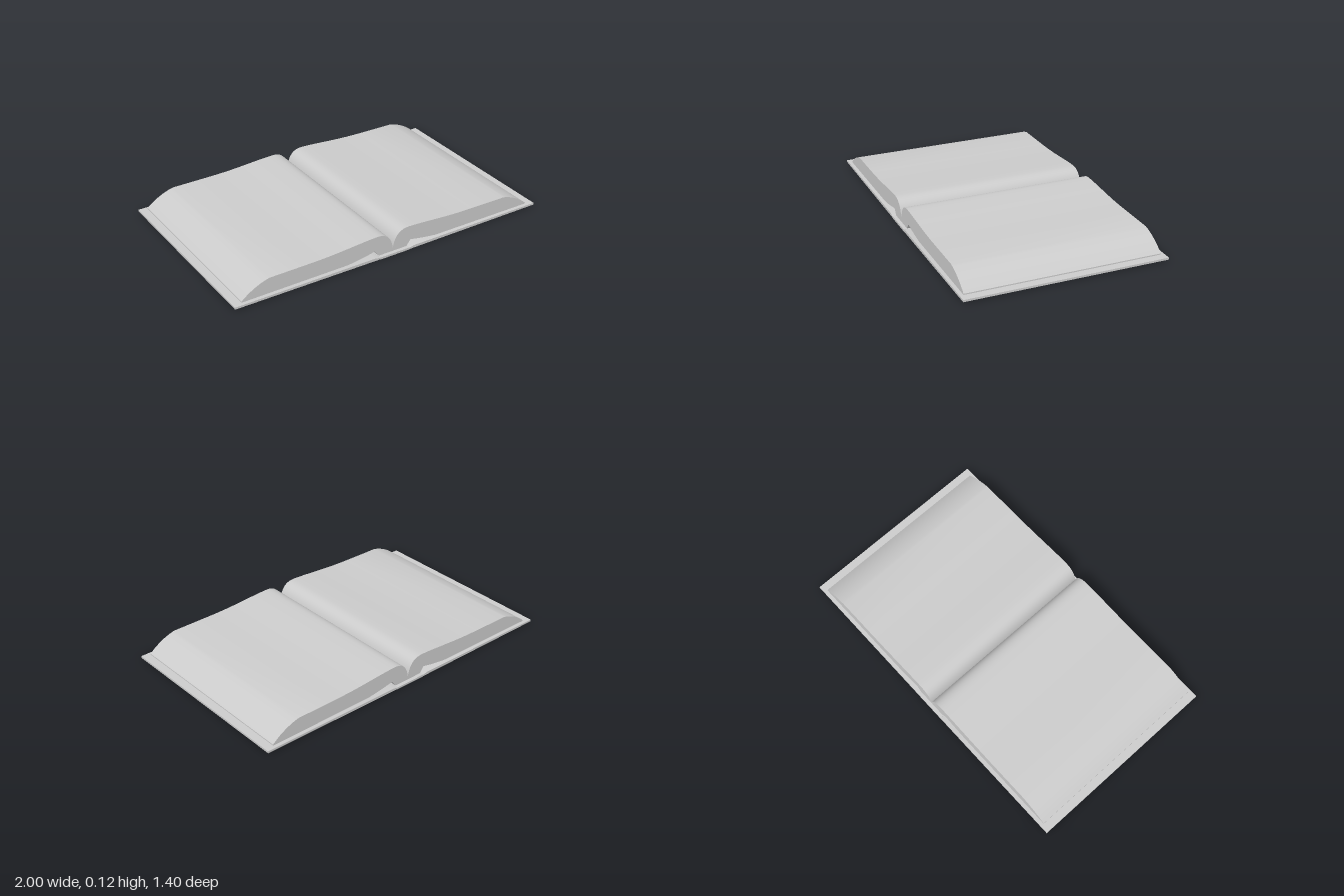
import * as THREE from 'three';
import { toCreasedNormals } from 'three/addons/utils/BufferGeometryUtils.js';

const material = new THREE.MeshStandardMaterial({ color: 0xcccccc });

// Extrude a cross-section (x, y) along z, centred on z = 0
function slab(name, points, depth) {
  const geometry = new THREE.ExtrudeGeometry(new THREE.Shape(points), {
    depth, bevelEnabled: false, steps: 1,
  });
  geometry.translate(0, 0, -depth / 2);
  const mesh = new THREE.Mesh(toCreasedNormals(geometry, 0.45), material);
  mesh.name = name;
  return mesh;
}

const mirrored = (points, side) => points.map((p) => new THREE.Vector2(p.x * side, p.y));

// Cross-section of one half of the page block, spine at x = 0
function pageProfile() {
  const s = new THREE.Shape();
  s.moveTo(0, 0.012);
  s.lineTo(0, 0.03);
  s.bezierCurveTo(0.01, 0.09, 0.035, 0.125, 0.095, 0.125); // roll out of the gutter
  s.bezierCurveTo(0.22, 0.122, 0.32, 0.105, 0.5, 0.105);   // gentle sag of the page
  s.lineTo(0.715, 0.104);
  s.quadraticCurveTo(0.8, 0.085, 0.87, 0.024);             // fanned fore edge
  s.lineTo(0.87, 0.018);
  s.lineTo(0.27, 0.019);
  s.quadraticCurveTo(0.17, 0.03, 0.11, 0.045);             // hollow beside the spine
  s.lineTo(0.085, 0.012);
  return s.getPoints(10);
}

// Cross-section of one cover board, with its hinge step
const coverProfile = [
  [0.09, 0.002], [0.915, 0.007], [0.915, 0.018], [0.12, 0.017], [0.09, 0.011],
].map(([x, y]) => new THREE.Vector2(x, y));

const spineProfile = [
  [-0.09, 0], [0.09, 0], [0.09, 0.012], [-0.09, 0.012],
].map(([x, y]) => new THREE.Vector2(x, y));

export function createModel() {
  const book = new THREE.Group();
  book.name = 'openBook';
  const pages = pageProfile();
  for (const [label, side] of [['left', 1], ['right', -1]]) {
    book.add(slab(label + 'Pages', mirrored(pages, side), 1.045));
    book.add(slab(label + 'Cover', mirrored(coverProfile, side), 1.085));
  }
  book.add(slab('spine', spineProfile, 1.085));
  // The book lies slightly turned
  book.rotation.y = 0.184;
  const model = new THREE.Group();
  model.name = 'book';
  model.add(book);
  return model;
}
